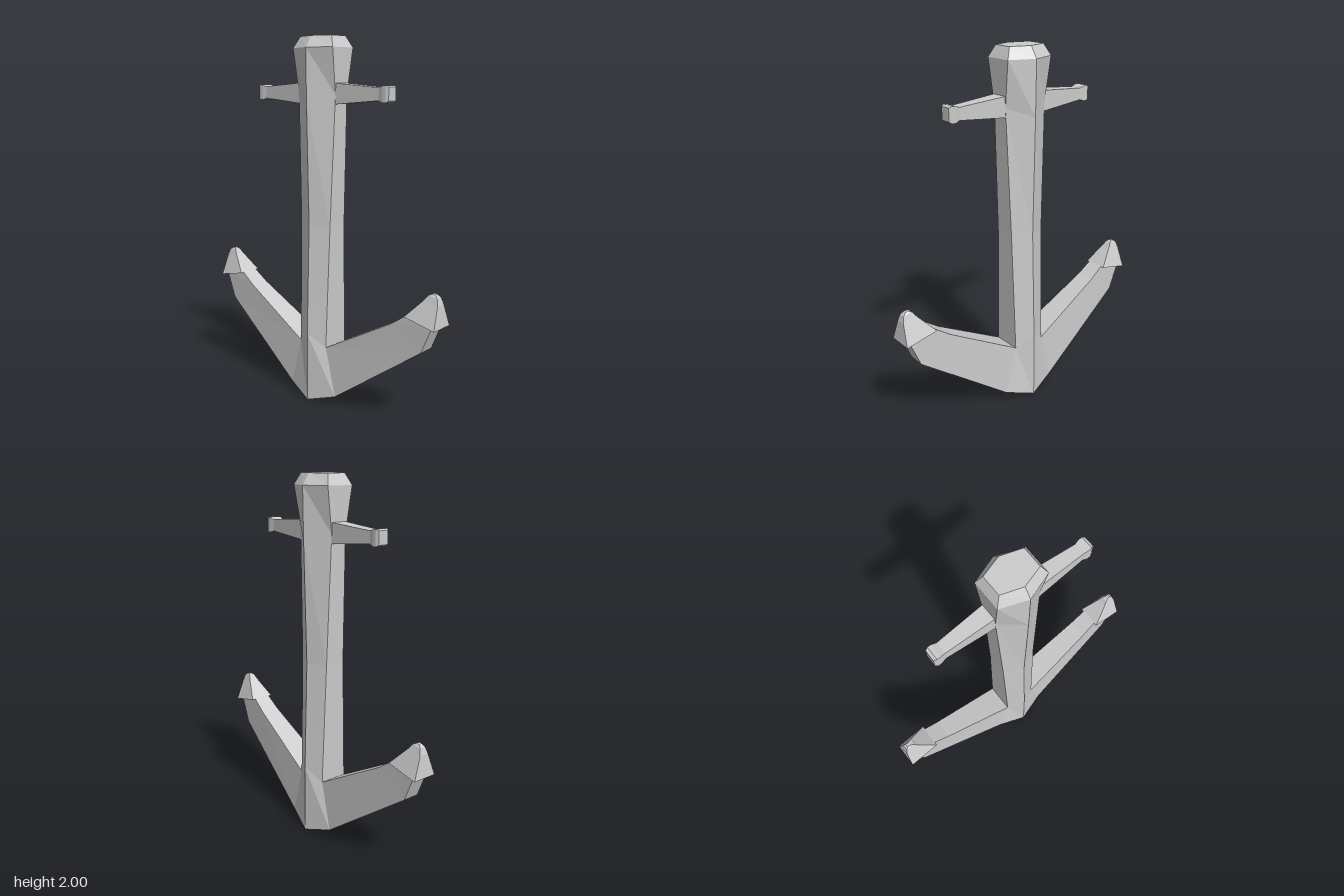
import * as THREE from 'three';

const material = new THREE.MeshStandardMaterial({ color: 0xcccccc, flatShading: true });

// Skin a list of equal-sized rings of [x, y, z] points and cap both ends
function loft(name, rings) {
  const n = rings[0].length;
  const tris = [];
  for (let r = 0; r < rings.length - 1; r++) {
    for (let i = 0; i < n; i++) {
      const j = (i + 1) % n;
      const a = rings[r][i], b = rings[r][j], c = rings[r + 1][j], d = rings[r + 1][i];
      tris.push([a, b, c], [a, c, d]);
    }
  }
  const first = rings[0], last = rings[rings.length - 1];
  for (let i = 1; i < n - 1; i++) {
    tris.push([first[0], first[i + 1], first[i]], [last[0], last[i], last[i + 1]]);
  }
  // Signed volume decides the winding, so mirrored parts also face outward
  const v = (p) => new THREE.Vector3(...p);
  const volume = tris.reduce((sum, [a, b, c]) => sum + v(a).dot(v(b).cross(v(c))), 0);
  if (volume < 0) tris.forEach((t) => t.reverse());
  const geometry = new THREE.BufferGeometry();
  geometry.setAttribute('position', new THREE.Float32BufferAttribute(tris.flat(2), 3));
  geometry.computeVertexNormals();
  const mesh = new THREE.Mesh(geometry, material);
  mesh.name = name;
  return mesh;
}

// Six-sided ring: ridge at front and back, narrow flat at each side
const hexRing = (ridgeY, ridgeZ, x, y, z) => [
  [0, ridgeY, ridgeZ], [x, y, z], [x, y, -z],
  [0, ridgeY, -ridgeZ], [-x, y, -z], [-x, y, z],
];

// Four-sided ring between two points of the xy plane, with a half depth at each
const quadRing = (side, [x0, y0, z0], [x1, y1, z1]) => [
  [side * x0, y0, z0], [side * x0, y0, -z0],
  [side * x1, y1, -z1], [side * x1, y1, z1],
];

export function createModel() {
  const anchor = new THREE.Group();
  anchor.name = 'anchor';

  // Shank with bevelled head, running down into the pointed crown
  anchor.add(loft('shank', [
    hexRing(2, 0.09, 0.11, 2, 0.055),
    hexRing(1.94, 0.13, 0.14, 1.94, 0.08),
    hexRing(1.65, 0.126, 0.13, 1.7, 0.046),
    hexRing(1, 0.11, 0.105, 1, 0.058),
    hexRing(0.39, 0.128, 0.095, 0.32, 0.08),
    hexRing(0, 0.13, 0.165, 0.05, 0.083),
  ]));

  for (const side of [1, -1]) {
    const prefix = side > 0 ? 'left' : 'right';

    // Curved arm
    anchor.add(loft(prefix + 'Arm', [
      quadRing(side, [0.165, 0.05, 0.083], [0.095, 0.32, 0.08]),
      quadRing(side, [0.7, 0.44, 0.047], [0.52, 0.555, 0.056]),
      quadRing(side, [0.765, 0.6, 0.045], [0.62, 0.625, 0.05]),
    ]));

    // Fluke with blunt, rounded tip
    anchor.add(loft(prefix + 'Fluke', [
      quadRing(side, [0.787, 0.577, 0.07], [0.608, 0.615, 0.07]),
      quadRing(side, [0.777, 0.695, 0.028], [0.697, 0.712, 0.028]),
      quadRing(side, [0.767, 0.73, 0.018], [0.716, 0.738, 0.018]),
      quadRing(side, [0.752, 0.744, 0.009], [0.734, 0.747, 0.009]),
    ]));

    // Stock bar with flared end
    const stock = [
      [0.08, 1.647, 1.763, 0.048],
      [0.4, 1.674, 1.738, 0.032],
      [0.425, 1.665, 1.747, 0.037],
      [0.445, 1.664, 1.749, 0.037],
      [0.46, 1.673, 1.742, 0.03],
    ];
    anchor.add(loft(prefix + 'Stock', stock.map(([x, low, high, z]) =>
      quadRing(side, [x, low, z], [x, high, z]))));
  }

  return anchor;
}
